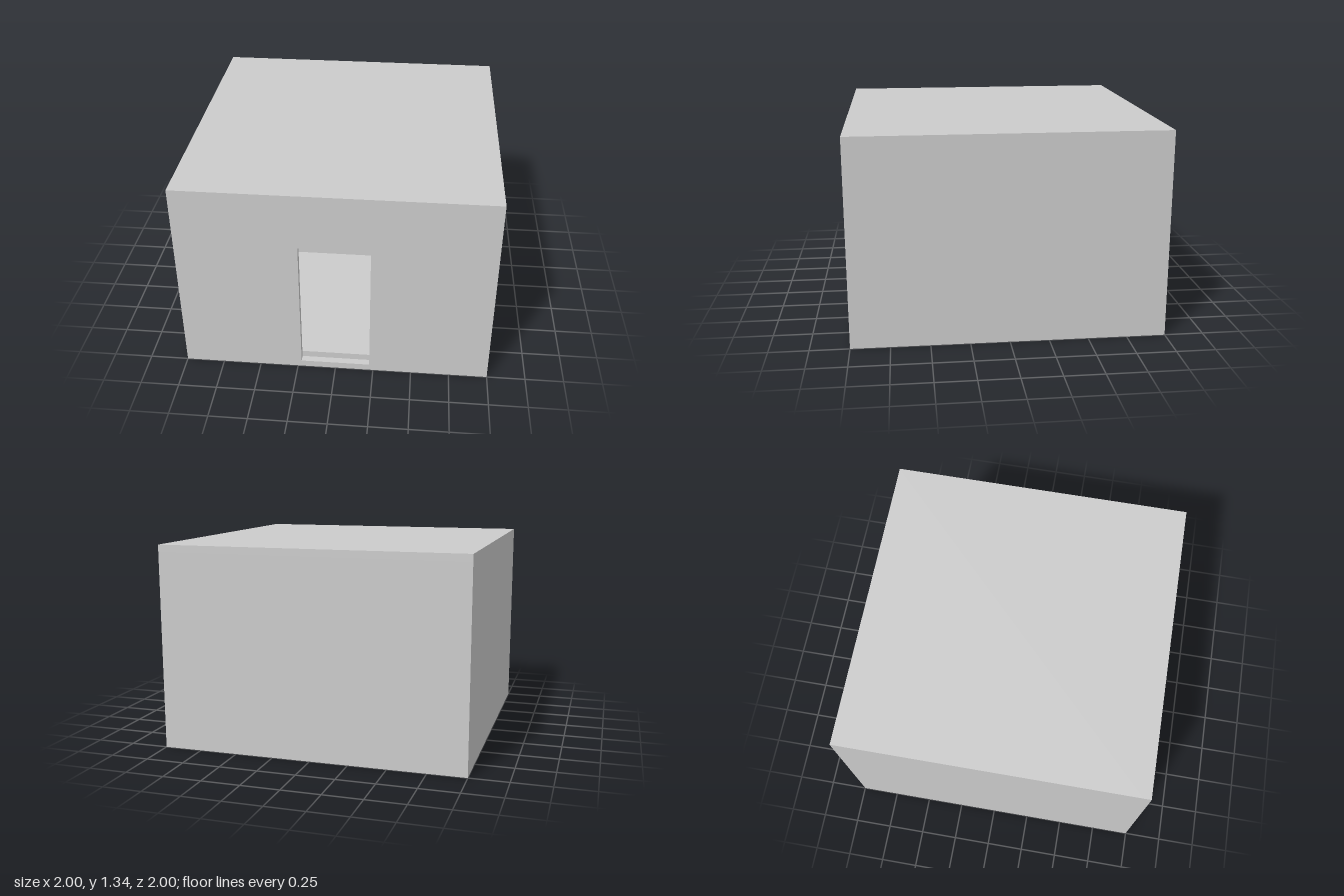
import * as THREE from 'three';

export function createModel() {
  const model = new THREE.Group();
  const material = new THREE.MeshStandardMaterial({ color: 0xcccccc, flatShading: true });
  const H = 1.335, T = 0.045;

  function add(name, geometry) {
    const mesh = new THREE.Mesh(geometry, material);
    mesh.name = name;
    model.add(mesh);
    return mesh;
  }
  // Box given by its lower and upper limits on each axis
  function block(name, [x0, x1], [y0, y1], [z0, z1]) {
    const mesh = add(name, new THREE.BoxGeometry(x1 - x0, y1 - y0, z1 - z0));
    mesh.position.set((x0 + x1) / 2, (y0 + y1) / 2, (z0 + z1) / 2);
  }

  // Shell
  const inner = 0.9, front = 1 - T;
  block('baseSlab', [-1, 1], [0, T], [-1, 1]);
  block('roofSlab', [-1, 1], [H - T, H], [-1, front]);
  block('backWall', [-inner, inner], [T, H - T], [-1, -inner]);
  for (const side of [-1, 1]) {
    const limits = (a, b) => (side > 0 ? [a, b] : [-b, -a]);
    const name = side > 0 ? 'left' : 'right';
    block(name + 'Wall', limits(inner, 1), [T, H - T], [-1, front]);
    block(name + 'Plinth', limits(0.88, inner), [0.09, 0.155], [-0.16, front]);
  }

  // Front wall with its doorway
  const wall = new THREE.Shape([
    [-1, T], [-0.225, T], [-0.225, 0.96], [0.225, 0.96],
    [0.225, T], [1, T], [1, H], [-1, H],
  ].map(([x, y]) => new THREE.Vector2(x, y)));
  const frontWall = add('frontWall', new THREE.ExtrudeGeometry(wall, { depth: T, bevelEnabled: false }));
  frontWall.position.z = front;

  // Raised floor and tiers climbing towards the back: top height, front edge
  block('floor', [-inner, inner], [T, 0.09], [-inner, front]);
  const tiers = [[0.155, -0.16], [0.19, -0.27], [0.34, -0.5], [0.445, -0.7]];
  let below = 0.09;
  for (const [top, z] of tiers) {
    block('tier', [-inner, inner], [below, top], [-inner, z]);
    below = top;
  }
  return model;
}
